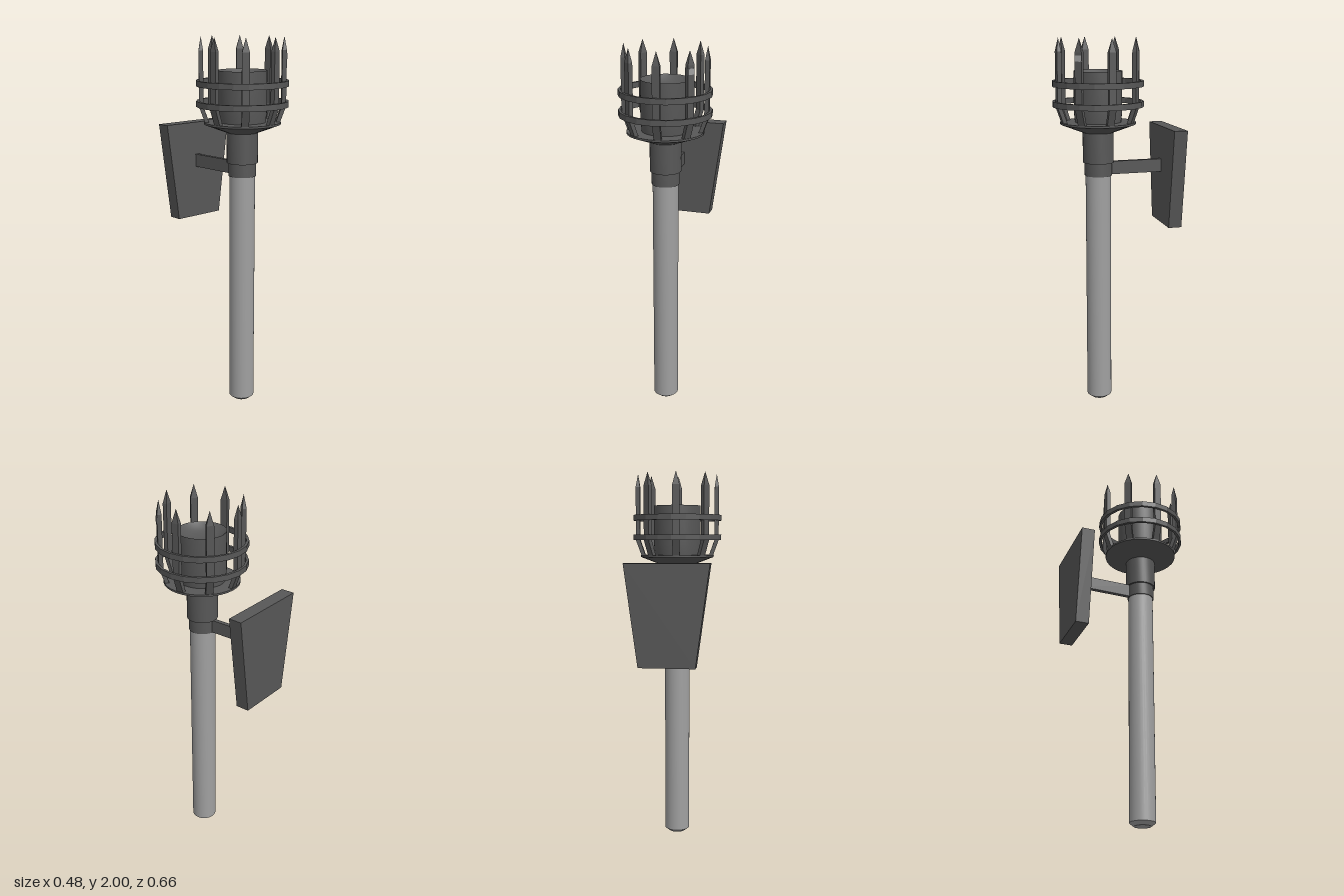
import * as THREE from 'three';
import { toCreasedNormals } from 'three/addons/utils/BufferGeometryUtils.js';

const darkIron = new THREE.MeshStandardMaterial({ color: 0x575757 });
darkIron.name = 'darkIron';
const paleShaft = new THREE.MeshStandardMaterial({ color: 0xa0a0a0 });
paleShaft.name = 'paleShaft';

const AXIS_Z = 0.09; // the torch stands in front of its wall plate

function add(parent, name, geometry, material) {
  const mesh = new THREE.Mesh(geometry, material);
  mesh.name = name;
  parent.add(mesh);
  return mesh;
}

// Turned part from [radius, y] points, listed from the bottom up the outside
function turned(points, segments) {
  const profile = points.map(([r, y]) => new THREE.Vector2(r, y));
  return toCreasedNormals(new THREE.LatheGeometry(profile, segments), 0.6);
}

// Flat-faced bar from rectangular sections [y, innerRadius, outerRadius, halfWidth]
function bar(sections) {
  const loops = sections.map(([y, a, b, w]) => [[-w, y, b], [w, y, b], [w, y, a], [-w, y, a]]);
  const out = [];
  const quad = (a, b, c, d) => out.push(...a, ...b, ...c, ...a, ...c, ...d);
  for (let i = 0; i < loops.length - 1; i++) {
    for (let k = 0; k < 4; k++) {
      const n = (k + 1) % 4;
      quad(loops[i][k], loops[i][n], loops[i + 1][n], loops[i + 1][k]);
    }
  }
  const base = loops[0];
  quad(base[3], base[2], base[1], base[0]);
  const geometry = new THREE.BufferGeometry();
  geometry.setAttribute('position', new THREE.Float32BufferAttribute(out, 3));
  geometry.computeVertexNormals();
  return geometry;
}

export function createModel() {
  const model = new THREE.Group();
  model.name = 'wallTorch';
  const torch = new THREE.Group();
  torch.name = 'torch';
  torch.position.z = AXIS_Z;
  model.add(torch);

  // Shaft with a bevelled foot
  add(torch, 'shaft', turned([[0, 0], [0.045, 0], [0.068, 0.018], [0.068, 1.29]], 32), paleShaft);

  // Stepped collar flaring into the basket floor
  add(torch, 'collar', turned([
    [0.06, 1.28], [0.073, 1.28], [0.073, 1.35], [0.082, 1.35], [0.082, 1.51],
    [0.2, 1.555], [0.2, 1.565], [0, 1.565],
  ], 32), darkIron);

  // Cup with a shallow dished top
  add(torch, 'cup', turned([
    [0.122, 1.565], [0.127, 1.62], [0.127, 1.83], [0.105, 1.812], [0.08, 1.798], [0.056, 1.79], [0, 1.79],
  ], 40), darkIron);

  // Two hoops around the basket
  [1.66, 1.765].forEach((y, i) => {
    const h = 0.015;
    const hoop = turned([[0.226, y - h], [0.24, y - h], [0.24, y + h], [0.226, y + h], [0.226, y - h]], 20);
    add(torch, i ? 'upperHoop' : 'lowerHoop', toCreasedNormals(hoop, 0.1), darkIron);
  });

  // Eight pointed prongs, bent in at the foot
  const prong = bar([
    [1.56, 0.172, 0.194, 0.019], [1.645, 0.202, 0.225, 0.019],
    [1.93, 0.202, 0.225, 0.019], [2, 0.213, 0.213, 0],
  ]);
  for (let i = 0; i < 8; i++) {
    const arm = new THREE.Group();
    arm.name = 'prong' + (i + 1);
    arm.rotation.y = THREE.MathUtils.degToRad(5.6 + 45 * i);
    torch.add(arm);
    add(arm, 'prongBar', prong, darkIron);
    // Small pale patch on one prong
    if (i === 1) {
      add(arm, 'prongPatch', new THREE.BoxGeometry(0.036, 0.03, 0.003), paleShaft).position.set(0, 1.9, 0.2255);
    }
  }

  // Slightly skewed arm back to the wall plate
  const bracket = new THREE.Group();
  bracket.name = 'bracket';
  bracket.rotation.y = 0.033;
  torch.add(bracket);
  add(bracket, 'bracketArm', new THREE.BoxGeometry(0.023, 0.07, 0.33), darkIron).position.set(0, 1.317, -0.205);

  // Tapered wall plate
  const outline = new THREE.Shape([
    new THREE.Vector2(-0.148, 1), new THREE.Vector2(0.148, 1),
    new THREE.Vector2(0.22, 1.53), new THREE.Vector2(-0.22, 1.53),
  ]);
  const plate = new THREE.ExtrudeGeometry(outline, { depth: 0.072, bevelEnabled: false });
  add(model, 'wallPlate', plate, darkIron).position.z = -0.333;

  return model;
}
